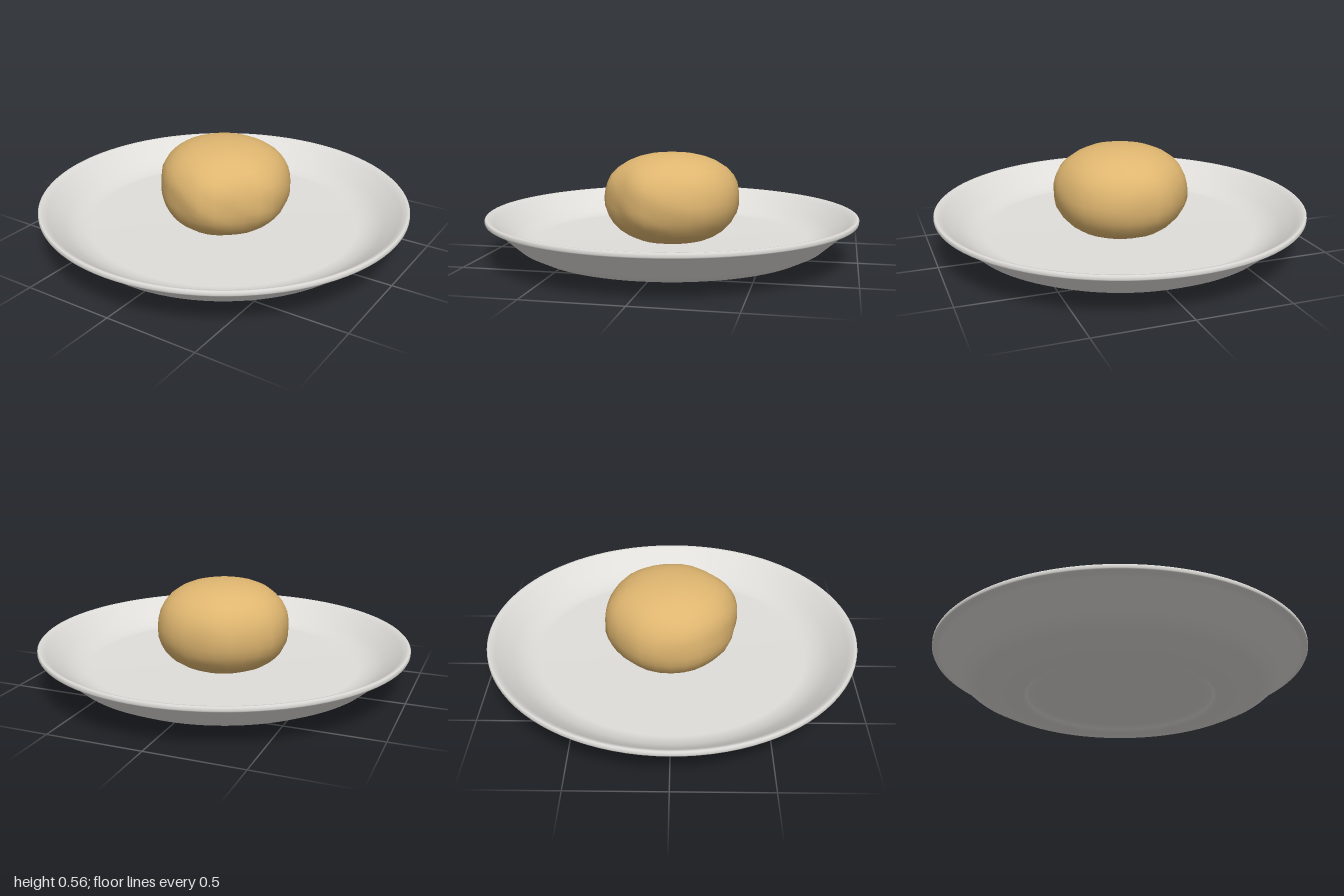
import * as THREE from 'three';
import { mergeVertices } from 'three/addons/utils/BufferGeometryUtils.js';

const plateMaterial = new THREE.MeshStandardMaterial({ color: 0xe0deda });
plateMaterial.name = 'offWhiteCeramic';
const bunMaterial = new THREE.MeshStandardMaterial({ color: 0xdfb670 });
bunMaterial.name = 'goldenDough';

// Plate: one closed profile, from the recessed underside out over the rim to the floor
function makePlate() {
  const profile = [
    [0, 0.03], [0.44, 0.03], [0.48, 0.025], [0.495, 0.012], [0.505, 0.002], [0.52, 0],
    [0.6, 0.006], [0.75, 0.045], [0.826, 0.083], [0.954, 0.195], [0.975, 0.207],
    [0.997, 0.214], [1, 0.22], [1, 0.234], [0.994, 0.24], [0.98, 0.238],
    [0.955, 0.22], [0.87, 0.152], [0.81, 0.12], [0.76, 0.106], [0.73, 0.104], [0, 0.104],
  ].map(([r, y]) => new THREE.Vector2(r, y));
  const plate = new THREE.Mesh(new THREE.LatheGeometry(profile, 96), plateMaterial);
  plate.name = 'plate';
  return plate;
}

// Bun: a boxy ellipsoid whose outline follows a hand-shaped, slightly lumpy ring
function makeBun() {
  const outline = new THREE.CatmullRomCurve3([
    [0.355, 0], [0.335, 0.13], [0.23, 0.245], [0.12, 0.345], [-0.02, 0.35], [-0.18, 0.285],
    [-0.3, 0.17], [-0.352, 0.03], [-0.34, -0.14], [-0.265, -0.24], [-0.12, -0.352],
    [0.02, -0.355], [0.14, -0.335], [0.245, -0.27], [0.322, -0.16],
  ].map(([x, z]) => new THREE.Vector3(x, 0, z)), true);
  const ring = outline.getPoints(240);
  const outlineRadius = (angle) => {
    let best = ring[0], gap = Infinity;
    for (const p of ring) {
      const d = Math.abs(Math.atan2(Math.sin(Math.atan2(p.z, p.x) - angle), Math.cos(Math.atan2(p.z, p.x) - angle)));
      if (d < gap) { gap = d; best = p; }
    }
    return Math.hypot(best.x, best.z);
  };

  let geometry = new THREE.SphereGeometry(1, 28, 18);
  geometry.deleteAttribute('uv');
  geometry.deleteAttribute('normal');
  geometry = mergeVertices(geometry, 1e-4);
  const position = geometry.attributes.position;
  const v = new THREE.Vector3();
  const power = 2.4;
  for (let i = 0; i < position.count; i++) {
    v.fromBufferAttribute(position, i);
    const flat = Math.hypot(v.x, v.z);
    const swell = Math.pow(Math.pow(flat, power) + Math.pow(Math.abs(v.y), power), -1 / power);
    const angle = Math.atan2(v.z, v.x);
    const radius = THREE.MathUtils.lerp(0.353, outlineRadius(angle), flat * flat);
    // Gentle dents, fading out at the crown
    const dent = 1 + 0.012 * flat * Math.sin(7 * v.x + 5 * v.y) * Math.cos(6 * v.z - 4 * v.y);
    position.setXYZ(i, v.x * swell * radius * dent, 0.32 + v.y * swell * 0.245, v.z * swell * radius * dent);
  }
  geometry.computeVertexNormals();
  const bun = new THREE.Mesh(geometry, bunMaterial);
  bun.name = 'bun';
  return bun;
}

export function createModel() {
  const model = new THREE.Group();
  model.name = 'bunOnPlate';
  model.add(makePlate(), makeBun());
  return model;
}
